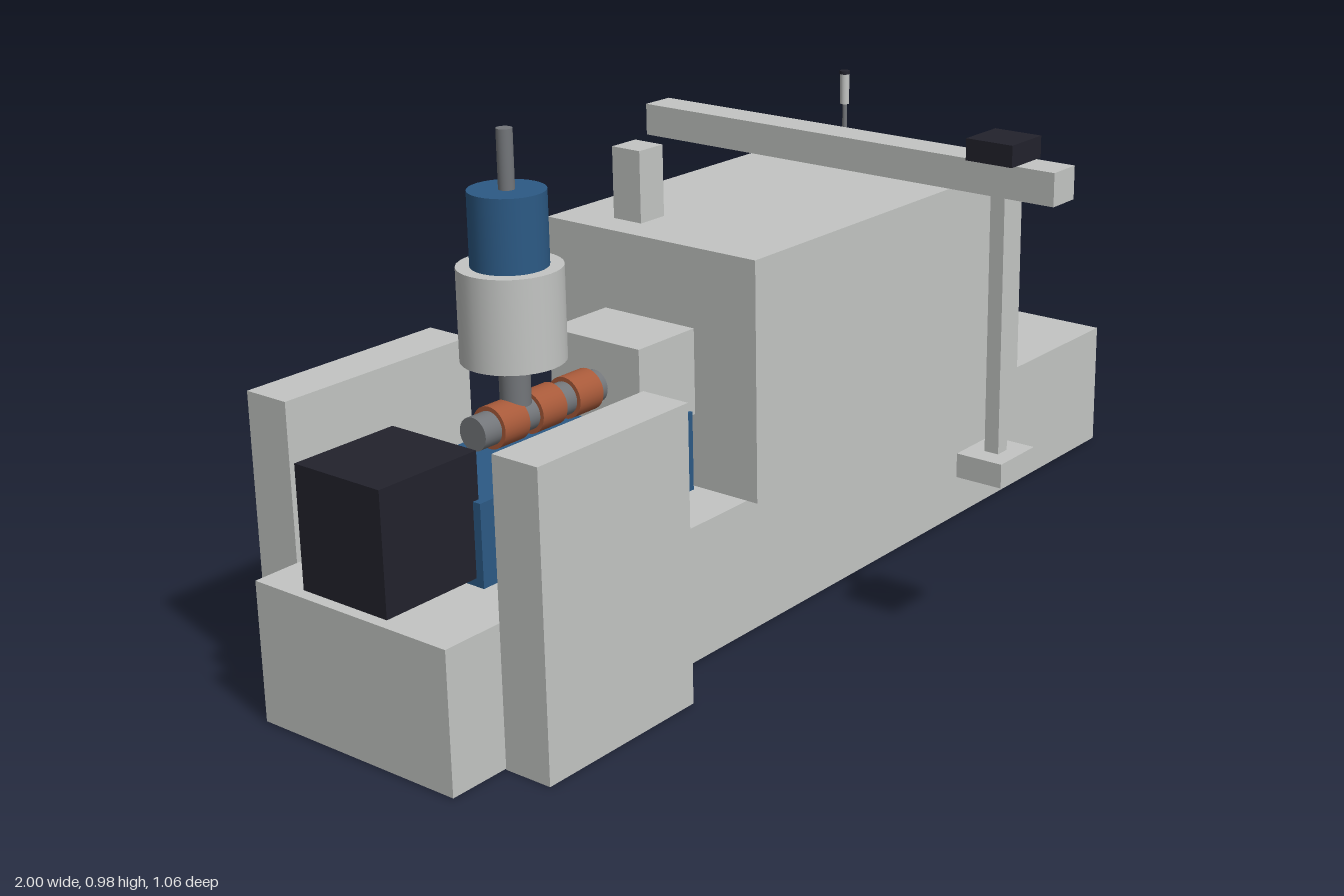
import * as THREE from 'three';

export function createModel() {
  const group = new THREE.Group();
  const mat = (name, color) => {
    const m = new THREE.MeshStandardMaterial({ color });
    m.name = name;
    return m;
  };
  const lightGrey = mat('light grey paint', 0xc3c5c3);
  const blue = mat('blue paint', 0x2c5a85);
  const dark = mat('dark casing', 0x22222c);
  const steel = mat('steel', 0x73767a);
  const copper = mat('copper', 0xa85a3a);

  const add = (name, geometry, material) => {
    const mesh = new THREE.Mesh(geometry, material);
    mesh.name = name;
    group.add(mesh);
    return mesh;
  };
  // Box given by its limits on each axis
  const box = (name, material, [x0, x1], [y0, y1], [z0, z1]) =>
    add(name, new THREE.BoxGeometry(x1 - x0, y1 - y0, z1 - z0), material)
      .position.set((x0 + x1) / 2, (y0 + y1) / 2, (z0 + z1) / 2);
  // Upright cylinder between two heights
  const post = (name, material, r, x, z, y0, y1, sides = 32) =>
    add(name, new THREE.CylinderGeometry(r, r, y1 - y0, sides), material)
      .position.set(x, (y0 + y1) / 2, z);
  // Cylinder lying along x
  const bar = (name, material, r, x0, x1, y, z) => {
    const geometry = new THREE.CylinderGeometry(r, r, x1 - x0, 32).rotateZ(Math.PI / 2);
    add(name, geometry, material).position.set((x0 + x1) / 2, y, z);
  };

  // Bed, enclosure and guards
  box('bed', lightGrey, [-1, 1], [0.002, 0.26], [-0.417, 0.021]);
  box('enclosure', lightGrey, [-0.245, 0.63], [0.26, 0.712], [-0.44, 0.044]);
  box('frontGuard', lightGrey, [-0.88, -0.52], [0, 0.547], [0.021, 0.117]);
  box('rearGuard', lightGrey, [-0.91, -0.487], [0, 0.547], [-0.51, -0.417]);
  box('rearRail', lightGrey, [-0.487, 0.905], [0.214, 0.236], [-0.424, -0.417]);

  // Feet
  for (const x of [-0.92, -0.3, 0.88])
    for (const z of [-0.36, -0.04]) post('foot', dark, 0.025, x, z, 0, 0.01, 16);

  // Work table, headstock and drive motor
  box('workTable', blue, [-0.8, -0.26], [0.26, 0.41], [-0.31, -0.09]);
  box('headstock', lightGrey, [-0.395, -0.245], [0.4, 0.562], [-0.304, -0.096]);
  box('driveMotor', dark, [-1, -0.787], [0.275, 0.495], [-0.298, -0.106]);

  // Workpiece shaft with copper collars
  bar('workShaft', steel, 0.03, -0.7, -0.395, 0.475, -0.2);
  for (const x of [-0.445, -0.538, -0.631])
    bar('collar', copper, 0.038, x - 0.03, x + 0.03, 0.475, -0.2);

  // Vertical spindle head
  const sx = -0.595, sz = -0.2;
  post('spindleNose', steel, 0.027, sx, sz, 0.5, 0.58);
  post('spindleHousing', lightGrey, 0.091, sx, sz, 0.58, 0.745);
  post('spindleMotor', blue, 0.067, sx, sz, 0.745, 0.875);
  post('drawbar', steel, 0.014, sx, sz, 0.875, 0.978);

  // Overhead boom with hanging gripper
  box('boomPost', lightGrey, [-0.18, -0.115], [0.712, 0.847], [-0.335, -0.27]);
  box('boom', lightGrey, [-0.065, 0], [0.845, 0.903], [-0.35, 0.528]);
  box('boomCarriage', dark, [-0.078, 0.013], [0.903, 0.941], [0.363, 0.454]);
  box('gripperRod', lightGrey, [-0.048, -0.02], [0.38, 0.845], [0.395, 0.423]);
  box('gripper', lightGrey, [-0.087, 0.02], [0.336, 0.38], [0.363, 0.454]);

  // Signal light
  post('signalStem', steel, 0.005, 0.605, -0.38, 0.712, 0.78, 16);
  post('signalLamp', lightGrey, 0.0095, 0.605, -0.38, 0.78, 0.843, 20);
  post('signalCap', dark, 0.0105, 0.605, -0.38, 0.843, 0.85, 20);

  // Control panel behind the machine
  post('panelStem', steel, 0.0075, -0.275, -0.482, 0.336, 0.47, 16);
  box('panel', dark, [-0.337, -0.21], [0.442, 0.537], [-0.526, -0.507]);
  box('panelScreen', dark, [-0.325, -0.222], [0.452, 0.527], [-0.53, -0.526]);

  return group;
}
